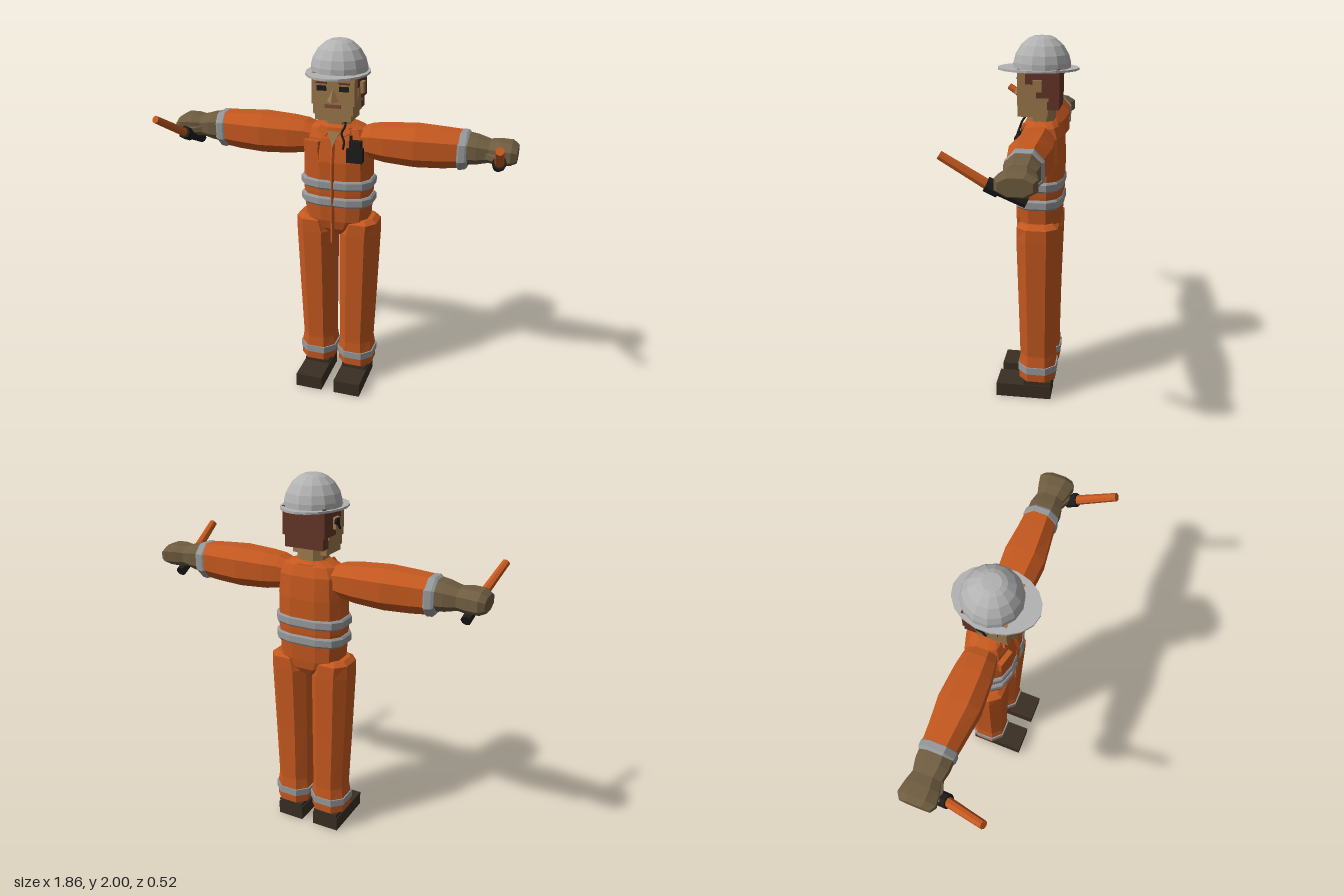
import * as THREE from 'three';

const paint = (name, color) => {
  const m = new THREE.MeshStandardMaterial({ color });
  m.name = name;
  return m;
};

export function createModel() {
  const orange = paint('overall orange', 0xc4581f);
  const silver = paint('reflective grey', 0x95989a);
  const white = paint('helmet grey', 0xb2b2b2);
  const skin = paint('skin', 0x9a774b);
  const hairBrown = paint('hair brown', 0x633527);
  const gloveTan = paint('glove brown', 0x6e5c40);
  const bootBrown = paint('boot brown', 0x392f23);
  const black = paint('black', 0x1c1c1d);
  const lipBrown = paint('lip brown', 0x7d4a35);
  const model = new THREE.Group();

  // Faceted mesh
  function add(name, geo, mat, x = 0, y = 0, z = 0, parent = model) {
    const g = geo.index ? geo.toNonIndexed() : geo;
    g.computeVertexNormals();
    const mesh = new THREE.Mesh(g, mat);
    mesh.name = name;
    mesh.position.set(x, y, z);
    parent.add(mesh);
    return mesh;
  }
  const box = (name, mat, w, h, d, x, y, z, parent) =>
    add(name, new THREE.BoxGeometry(w, h, d), mat, x, y, z, parent);

  // Closed skin over rounded sections [height, centreX, centreZ, radiusX, radiusZ]
  function loft(sections, n = 8, p = 0.8) {
    const pos = [], idx = [];
    const last = sections.length - 1;
    const bend = v => Math.sign(v) * Math.abs(v) ** p;
    for (const [y, cx, cz, rx, rz] of sections) {
      for (let j = 0; j < n; j++) {
        const a = ((j + 0.5) / n) * Math.PI * 2;
        pos.push(cx + rx * bend(Math.cos(a)), y, cz + rz * bend(Math.sin(a)));
      }
    }
    for (const i of [0, last]) pos.push(sections[i][1], sections[i][0], sections[i][2]);
    const bottom = (last + 1) * n, top = bottom + 1;
    for (let j = 0; j < n; j++) {
      const k = (j + 1) % n;
      for (let i = 0; i < last; i++) {
        const a = i * n + j, b = i * n + k;
        idx.push(a, a + n, b, b, a + n, b + n);
      }
      idx.push(bottom, j, k, top, last * n + k, last * n + j);
    }
    const g = new THREE.BufferGeometry();
    g.setAttribute('position', new THREE.Float32BufferAttribute(pos, 3));
    g.setIndex(idx);
    return g;
  }

  // Straight rod between two points
  function rod(name, mat, from, to, r, sides = 8, parent = model, r2 = r) {
    const a = new THREE.Vector3(...from), b = new THREE.Vector3(...to);
    const d = b.clone().sub(a);
    const mesh = add(name, new THREE.CylinderGeometry(r2, r, d.length(), sides), mat, 0, 0, 0, parent);
    mesh.position.copy(a).add(b).multiplyScalar(0.5);
    mesh.quaternion.setFromUnitVectors(new THREE.Vector3(0, 1, 0), d.normalize());
    return mesh;
  }

  // Torso, waist bands and collar
  add('torso', loft([
    [0.95, 0, -0.075, 0.05, 0.08], [0.99, 0, -0.075, 0.13, 0.105], [1.04, 0, -0.072, 0.178, 0.115],
    [1.2, 0, -0.072, 0.188, 0.124], [1.38, 0, -0.072, 0.185, 0.128], [1.5, 0, -0.08, 0.178, 0.112],
    [1.55, 0, -0.08, 0.15, 0.09], [1.57, 0, -0.08, 0.1, 0.07]], 12, 0.7), orange);
  for (const y of [1.157, 1.253]) {
    add('waistBand', loft([
      [y - 0.027, 0, -0.07, 0.193, 0.127], [y - 0.017, 0, -0.07, 0.203, 0.133],
      [y + 0.017, 0, -0.07, 0.203, 0.133], [y + 0.027, 0, -0.07, 0.193, 0.127]], 12, 0.7), silver);
  }
  add('collar', loft([
    [1.52, 0, -0.075, 0.13, 0.1], [1.56, 0, -0.075, 0.112, 0.092], [1.575, 0, -0.075, 0.085, 0.075]], 12, 0.8), orange);
  for (const s of [-1, 1]) {
    const flap = box('collarFlap', orange, 0.055, 0.035, 0.012, s * 0.06, 1.54, 0.018);
    flap.rotation.set(-0.4, 0, s * 0.5);
  }
  const throat = new THREE.Shape([new THREE.Vector2(-0.035, 0.08), new THREE.Vector2(0, 0), new THREE.Vector2(0.035, 0.08)]);
  add('openNeck', new THREE.ExtrudeGeometry(throat, { depth: 0.008, bevelEnabled: false }), skin, 0, 1.465, 0.045)
    .rotation.x = -0.3;

  // Zip and chest pocket
  rod('zip', orange, [0, 0.92, 0.051], [0, 1.38, 0.056], 0.011, 4);
  rod('zip', orange, [0, 1.38, 0.056], [0, 1.48, 0.038], 0.011, 4);
  box('chestPocket', orange, 0.085, 0.1, 0.02, -0.118, 1.43, 0.033).rotation.y = -0.25;
  box('pocketFlap', orange, 0.09, 0.025, 0.026, -0.118, 1.475, 0.033).rotation.y = -0.25;

  // Radio with antenna and coiled wire
  box('radio', black, 0.085, 0.075, 0.04, 0.118, 1.427, 0.035);
  box('radioUpper', black, 0.062, 0.045, 0.036, 0.12, 1.482, 0.033);
  rod('radioAntenna', black, [0.095, 1.49, 0.035], [0.095, 1.53, 0.03], 0.008, 6);
  const wire = new THREE.CatmullRomCurve3([
    [0.052, 1.605, 0.0], [0.06, 1.575, 0.02], [0.045, 1.54, 0.035], [0.062, 1.5, 0.048], [0.058, 1.46, 0.055]
  ].map(v => new THREE.Vector3(...v)));
  add('radioWire', new THREE.TubeGeometry(wire, 14, 0.006, 5), black);

  // Head
  add('neck', loft([[1.5, 0, -0.075, 0.08, 0.075], [1.64, 0, -0.07, 0.078, 0.075]], 8), skin);
  box('face', skin, 0.228, 0.16, 0.16, 0, 1.765, -0.04);
  box('cheeks', skin, 0.212, 0.055, 0.16, 0, 1.662, -0.04);
  box('jaw', skin, 0.194, 0.035, 0.155, 0, 1.62, -0.0375);
  box('hair', hairBrown, 0.238, 0.145, 0.172, 0, 1.775, -0.089);
  box('hairNape', hairBrown, 0.216, 0.066, 0.06, 0, 1.675, -0.143);
  box('mouth', lipBrown, 0.085, 0.018, 0.008, 0, 1.679, 0.041);
  const nose = add('nose', new THREE.ConeGeometry(0.032, 0.065, 4), skin, 0, 1.736, 0.04);
  nose.scale.z = 1.1;
  for (const s of [-1, 1]) {
    box('eye', black, 0.05, 0.026, 0.008, s * 0.06, 1.77, 0.041);
    box('eyebrow', hairBrown, 0.058, 0.009, 0.009, s * 0.06, 1.798, 0.041);
    box('ear', skin, 0.022, 0.06, 0.045, s * 0.125, 1.765, -0.065);
    box('temple', skin, 0.004, 0.07, 0.055, s * 0.119, 1.735, -0.03);
  }
  rod('earpiece', black, [-0.13, 1.775, -0.075], [-0.142, 1.775, -0.075], 0.02, 8);
  rod('earpieceStem', black, [-0.138, 1.768, -0.07], [-0.138, 1.735, -0.05], 0.007, 5);

  // Helmet dome and brim
  const dome = [[0.148, 0], [0.147, 0.03], [0.136, 0.07], [0.108, 0.115], [0.07, 0.147], [0.045, 0.158], [0, 0.16]];
  add('helmetDome', new THREE.LatheGeometry(dome.map(v => new THREE.Vector2(...v)), 14), white, 0, 1.84, -0.073);
  add('helmetBrim', loft([[1.832, 0, -0.053, 0.164, 0.21], [1.843, 0, -0.053, 0.164, 0.21]], 18, 1), white);

  for (const s of [-1, 1]) {
    const side = s > 0 ? 'left' : 'right';

    // Leg, ankle band and boot
    const leg = new THREE.Group();
    leg.name = side + 'Leg';
    model.add(leg);
    add('trouserLeg', loft([
      [0.12, s * 0.115, -0.075, 0.105, 0.108], [0.2, s * 0.113, -0.075, 0.107, 0.108],
      [0.27, s * 0.112, -0.075, 0.096, 0.102], [0.6, s * 0.117, -0.073, 0.105, 0.108],
      [0.96, s * 0.123, -0.073, 0.112, 0.118], [1.03, s * 0.135, -0.073, 0.098, 0.116],
      [1.05, s * 0.135, -0.073, 0.07, 0.085]], 8, 0.8), orange, 0, 0, 0, leg);
    add('ankleBand', loft([
      [0.168, s * 0.114, -0.075, 0.113, 0.114], [0.208, s * 0.113, -0.075, 0.113, 0.114]], 8, 0.8), silver, 0, 0, 0, leg);
    box('bootSole', bootBrown, 0.155, 0.08, 0.31, s * 0.114, 0.04, 0, leg);
    box('bootHeel', bootBrown, 0.145, 0.025, 0.155, s * 0.114, 0.09, -0.0775, leg);
    box('bootShaft', bootBrown, 0.11, 0.05, 0.12, s * 0.114, 0.12, -0.077, leg);

    // Arm, cuff band and glove, swept outward: [x, y, z, radiusY, radiusZ]
    const arm = new THREE.Group();
    arm.name = side + 'Arm';
    model.add(arm);
    const sweep = (name, mat, sections) => {
      const g = loft(sections.map(([x, y, z, ry, rz]) => [x, -s * y, z, ry, rz]), 8, 0.85);
      add(name, g, mat, 0, 0, 0, arm).rotation.z = -s * Math.PI / 2;
    };
    sweep('sleeve', orange, [
      [0.13, 1.48, -0.075, 0.075, 0.08], [0.18, 1.482, -0.075, 0.092, 0.09], [0.26, 1.48, -0.075, 0.103, 0.102],
      [0.42, 1.48, -0.075, 0.112, 0.113], [0.56, 1.48, -0.077, 0.106, 0.097], [0.655, 1.482, -0.08, 0.098, 0.088]]);
    sweep('cuffBand', silver, [
      [0.635, 1.478, -0.08, 0.095, 0.09], [0.645, 1.478, -0.08, 0.104, 0.096],
      [0.675, 1.48, -0.08, 0.102, 0.095], [0.688, 1.482, -0.08, 0.09, 0.088]]);
    sweep('glove', gloveTan, [
      [0.67, 1.488, -0.078, 0.084, 0.088], [0.73, 1.487, -0.078, 0.074, 0.088], [0.79, 1.485, -0.078, 0.058, 0.075],
      [0.84, 1.485, -0.078, 0.064, 0.09], [0.9, 1.485, -0.08, 0.06, 0.1], [0.93, 1.482, -0.08, 0.042, 0.08]]);
    rod('thumb', gloveTan, [s * 0.78, 1.475, -0.03], [s * 0.87, 1.465, 0.015], 0.028, 6, arm, 0.02);

    // Signal baton with grip and guard
    const mid = [s * 0.852, 1.462, 0.04];
    rod('batonGrip', black, [s * 0.836, 1.39, -0.115], mid, 0.027, 8, arm);
    rod('batonGuard', black, [s * 0.848, 1.443, 0.0], [s * 0.853, 1.47, 0.055], 0.036, 8, arm);
    rod('batonLight', orange, mid, s > 0 ? [0.865, 1.592, 0.25] : [-0.905, 1.59, 0.25], 0.025, 8, arm, 0.021);
  }
  return model;
}
